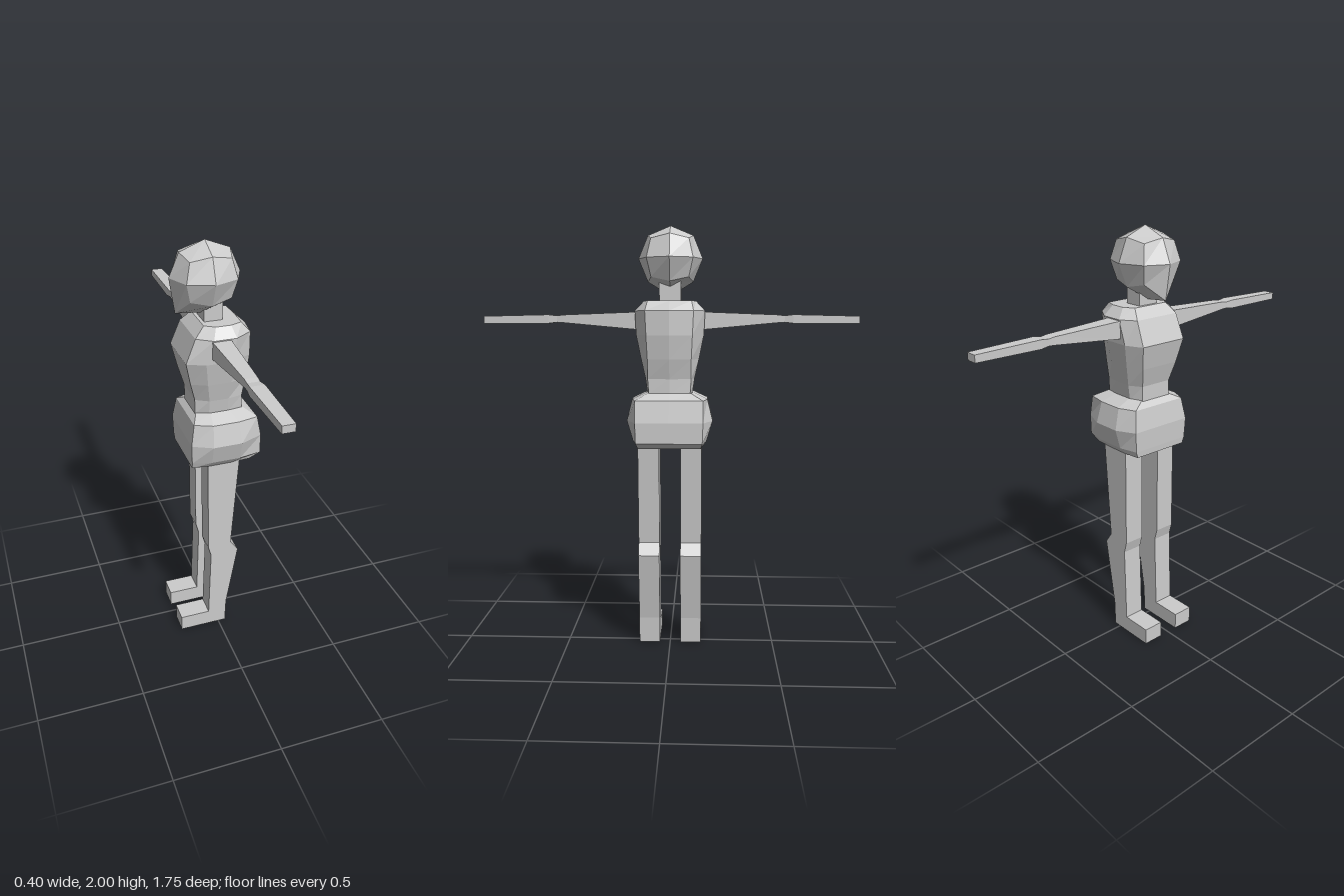
import * as THREE from 'three';

const material = new THREE.MeshStandardMaterial({ color: 0xcccccc, flatShading: true });

// Skin a stack of closed rings and cap both ends; rings run counter-clockwise around the stacking direction.
function loft(rings) {
  const pos = [];
  const tri = (...pts) => pts.forEach((p) => pos.push(...p));
  const n = rings[0].length;
  for (let r = 0; r < rings.length - 1; r++) {
    const a = rings[r], b = rings[r + 1];
    for (let i = 0; i < n; i++) {
      const j = (i + 1) % n;
      tri(a[i], a[j], b[j]);
      tri(a[i], b[j], b[i]);
    }
  }
  const first = rings[0], last = rings[rings.length - 1];
  for (let i = 1; i < n - 1; i++) {
    tri(first[0], first[i + 1], first[i]);
    tri(last[0], last[i], last[i + 1]);
  }
  const g = new THREE.BufferGeometry();
  g.setAttribute('position', new THREE.Float32BufferAttribute(pos, 3));
  g.computeVertexNormals();
  return g;
}

// Horizontal body section: the chest side is -x, the back is +x, with a bulging back and wider flanks.
function section([y, front, back, bulge, zFront, zSide, zBack]) {
  const s1 = front + (back - front) * 0.27, s2 = front + (back - front) * 0.68;
  const half = [[back, zBack], [s2, zSide], [s1, zSide], [front, zFront]];
  return [
    [back + bulge, y, 0],
    ...half.map(([x, z]) => [x, y, -z]),
    ...half.reverse().map(([x, z]) => [x, y, z]),
  ];
}

export function createModel() {
  const model = new THREE.Group();
  const add = (name, geometry) => {
    const mesh = new THREE.Mesh(geometry, material);
    mesh.name = name;
    model.add(mesh);
    return mesh;
  };

  // Head: a cube rounded into a ball, with one vertex pulled down to a chin
  const headGeo = new THREE.BoxGeometry(2, 2, 2, 2, 2, 2);
  const p = headGeo.attributes.position;
  const v = new THREE.Vector3();
  for (let i = 0; i < p.count; i++) {
    v.fromBufferAttribute(p, i);
    const chin = v.x < -0.5 && v.y < -0.5 && Math.abs(v.z) < 0.1;
    const base = v.y < -0.5 && Math.abs(v.x) < 0.1 && Math.abs(v.z) < 0.1;
    v.normalize().multiply(new THREE.Vector3(0.16, 0.15, 0.15));
    if (chin) v.set(-0.135, -0.16, 0);
    if (base) v.set(-0.02, -0.17, 0);
    p.setXYZ(i, v.x, v.y, v.z);
  }
  headGeo.computeVertexNormals();
  add('head', headGeo).position.set(-0.02, 1.85, 0);

  // Neck
  add('neck', new THREE.BoxGeometry(0.085, 0.13, 0.1)).position.set(0.003, 1.68, 0);

  // Torso: y, front, back, back bulge, half widths at front, flank and back
  add('torso', loft([
    [1.23, -0.095, 0.125, 0.008, 0.08, 0.105, 0.095],
    [1.30, -0.095, 0.122, 0.01, 0.08, 0.115, 0.1],
    [1.39, -0.12, 0.14, 0.013, 0.1, 0.135, 0.1],
    [1.50, -0.145, 0.153, 0.015, 0.12, 0.157, 0.105],
    [1.61, -0.1, 0.152, 0.015, 0.115, 0.162, 0.11],
    [1.655, -0.055, 0.113, 0.004, 0.09, 0.12, 0.1],
  ].map(section)));

  // Pelvis
  add('pelvis', loft([
    [0.98, -0.13, 0.15, 0, 0.14, 0.15, 0.145],
    [1.01, -0.132, 0.2, 0, 0.15, 0.172, 0.152],
    [1.105, -0.135, 0.2, 0, 0.155, 0.2, 0.155],
    [1.205, -0.118, 0.18, 0, 0.14, 0.175, 0.155],
    [1.235, -0.09, 0.13, 0.004, 0.08, 0.11, 0.1],
  ].map(section)));

  // Legs: a side profile with knee and foot, given a constant width
  const legShape = new THREE.Shape([
    [-0.055, 1.0], [-0.055, 0.505], [-0.04, 0.45], [-0.053, 0.08], [-0.2, 0.08], [-0.2, 0],
    [0.037, 0], [0.042, 0.125], [0.1, 0.455], [0.062, 0.51], [0.1, 1.0],
  ].map(([x, y]) => new THREE.Vector2(x, y)));
  const legGeo = new THREE.ExtrudeGeometry(legShape, { depth: 0.1, bevelEnabled: false });
  add('rightLeg', legGeo).position.z = 0.05;
  add('leftLeg', legGeo).position.z = -0.15;

  // Arms: z, x from, x to, y from, y to
  const armRings = [
    [0.1, -0.04, 0.048, 1.518, 1.608],
    [0.16, -0.038, 0.046, 1.525, 1.605],
    [0.5, -0.025, 0.032, 1.556, 1.592],
    [0.53, -0.025, 0.03, 1.558, 1.588],
    [0.57, -0.03, 0.034, 1.553, 1.593],
    [0.875, -0.025, 0.03, 1.553, 1.586],
  ];
  for (const [name, side] of [['rightArm', 1], ['leftArm', -1]]) {
    add(name, loft(armRings.map(([z, x0, x1, y0, y1]) => {
      const ring = [[x0, y0, z * side], [x1, y0, z * side], [x1, y1, z * side], [x0, y1, z * side]];
      return side > 0 ? ring : ring.reverse();
    })));
  }

  return model;
}
